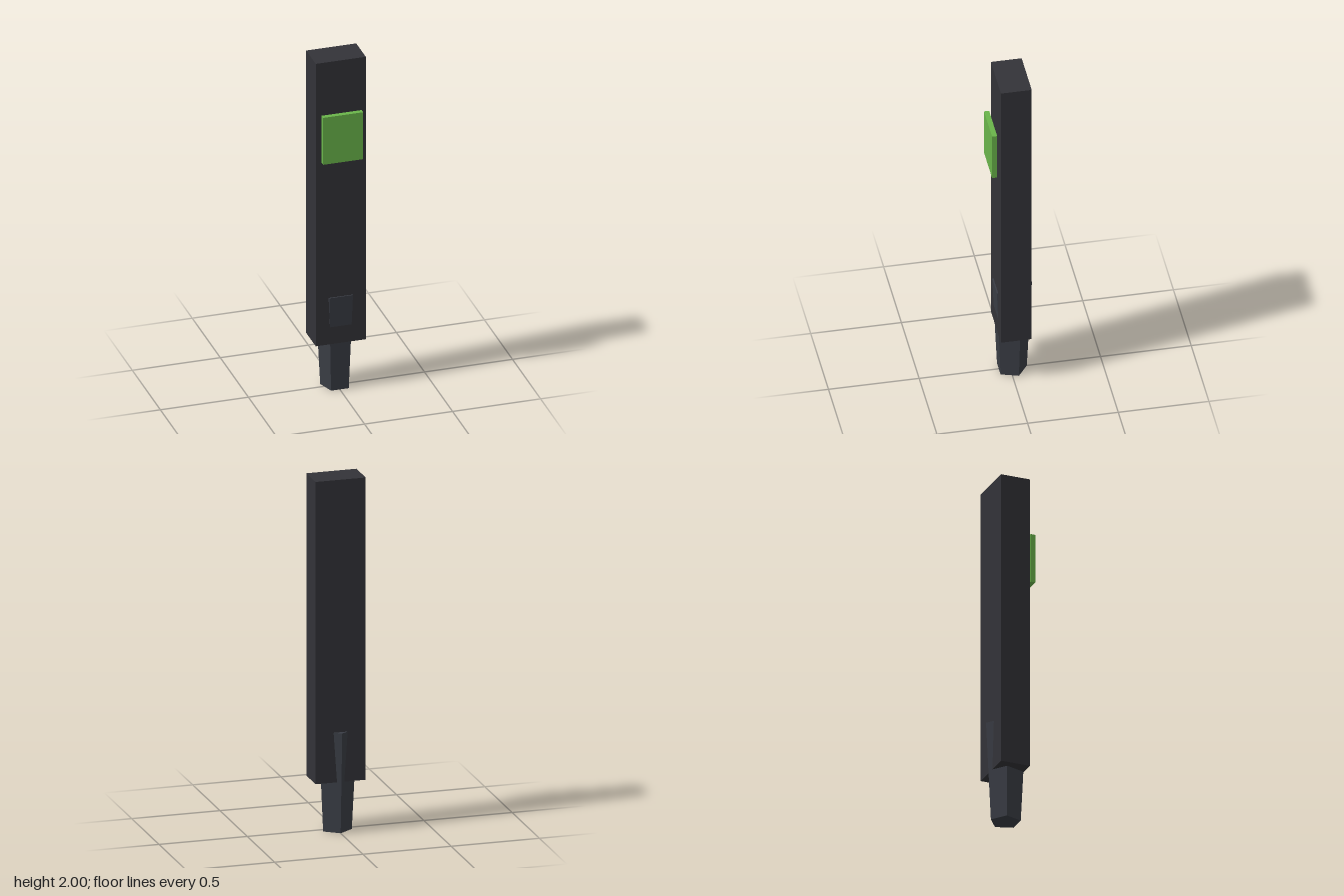
import * as THREE from 'three';

function addPart(group, name, geometry, color, x, y, z) {
  const material = new THREE.MeshStandardMaterial({ color, flatShading: true });
  const mesh = new THREE.Mesh(geometry, material);
  mesh.name = name;
  mesh.position.set(x, y, z);
  group.add(mesh);
}

export function createModel() {
  const group = new THREE.Group();
  group.name = 'handheldDevice';

  // Long rectangular body
  addPart(group, 'body', new THREE.BoxGeometry(0.284, 1.71, 0.17), 0x333338, 0, 1.145, -0.008);

  // Green screen floating just in front of the body
  addPart(group, 'screen', new THREE.BoxGeometry(0.227, 0.284, 0.028), 0x6ab54a, 0, 1.547, 0.106);

  // Tapered five-sided grip: flat to the front, ridge to the back
  const grip = new THREE.CylinderGeometry(0.114, 0.0855, 0.572, 5, 1, false, Math.PI);
  addPart(group, 'grip', grip, 0x3a3d45, 0, 0.286, -0.008);

  return group;
}
